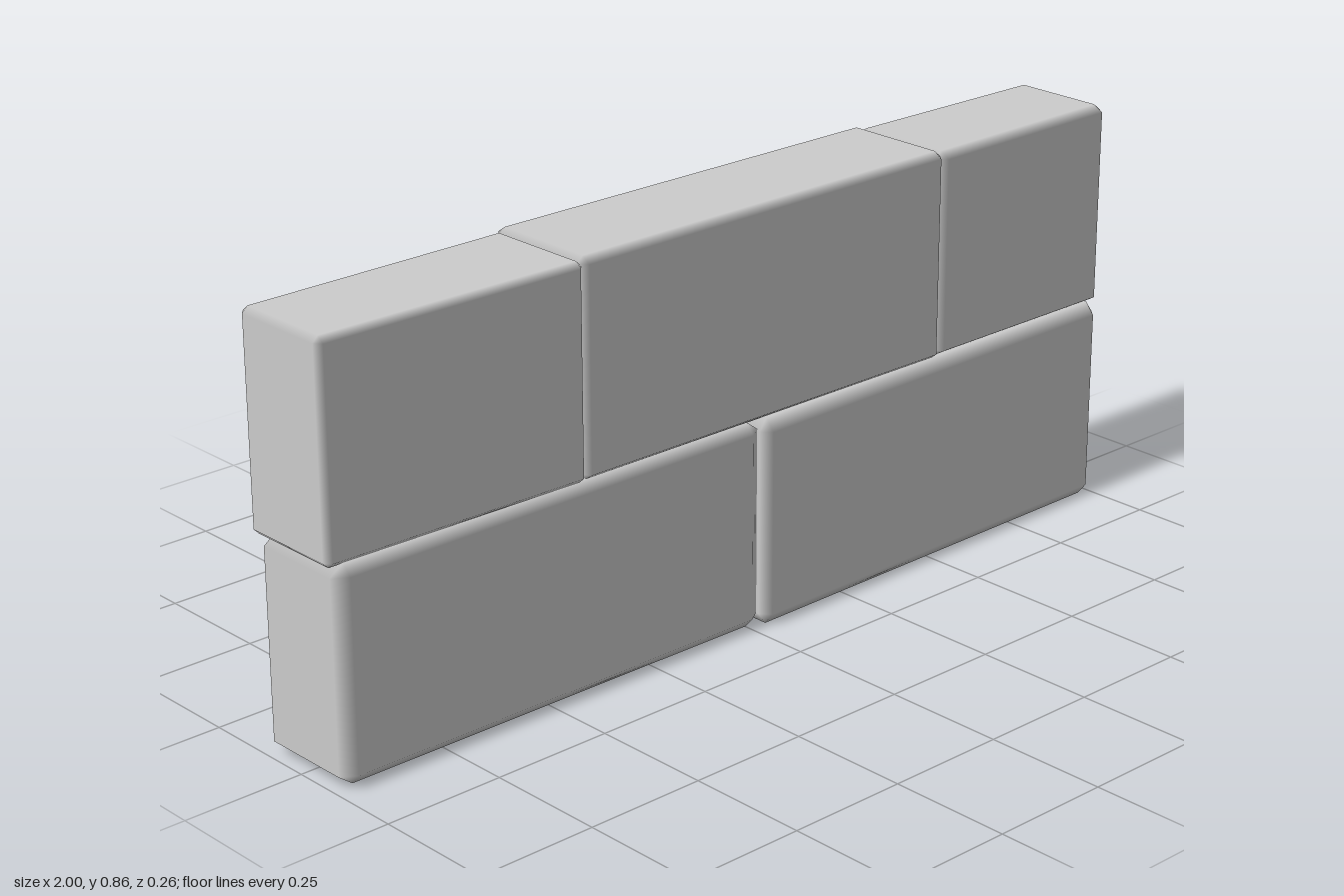
import * as THREE from 'three';
import { ConvexGeometry } from 'three/addons/geometries/ConvexGeometry.js';

const material = new THREE.MeshStandardMaterial({ color: 0xcccccc });

// Chamfered block; the front and back planes taper from the -x end to the +x end.
function stoneBlock({ x, y, front, back, bevel }) {
  const half = [(x[1] - x[0]) / 2, (y[1] - y[0]) / 2, 1];
  const points = [];
  for (const sx of [-1, 1]) for (const sy of [-1, 1]) for (const sz of [-1, 1]) {
    const end = sx < 0 ? 0 : 1;
    const depth = (front[end] - back[end]) / 2;
    const middle = (front[end] + back[end]) / 2;
    // one point per face meeting at this corner
    for (let face = 0; face < 3; face++) {
      const inset = bevel.map((b, i) => (i === face ? 0 : b));
      points.push(new THREE.Vector3(
        sx * (half[0] - inset[0]), sy * (half[1] - inset[1]), middle + sz * (depth - inset[2])));
    }
  }
  const geometry = new ConvexGeometry(points);

  // Face-aligned normals keep the faces flat and let the bevels shade softly.
  const pos = geometry.attributes.position, normal = geometry.attributes.normal;
  for (let i = 0; i < pos.count; i++) {
    const px = pos.getX(i), py = pos.getY(i), pz = pos.getZ(i);
    if (Math.abs(Math.abs(px) - half[0]) < 1e-4) normal.setXYZ(i, Math.sign(px), 0, 0);
    else if (Math.abs(Math.abs(py) - half[1]) < 1e-4) normal.setXYZ(i, 0, Math.sign(py), 0);
    else normal.setXYZ(i, 0, 0, Math.sign(pz));
  }
  geometry.translate((x[0] + x[1]) / 2, (y[0] + y[1]) / 2, 0);
  return geometry;
}

export function createModel() {
  const wall = new THREE.Group();
  wall.name = 'stoneWall';

  const blocks = {
    // lower course
    lowerRightBlock: { x: [-0.988, 0.025], y: [0.004, 0.432], front: [0.115, 0.122], back: [-0.115, -0.122], bevel: [0.03, 0.022, 0.02] },
    lowerLeftBlock: { x: [0.022, 0.993], y: [0, 0.432], front: [0.131, 0.12], back: [-0.12, -0.124], bevel: [0.018, 0.025, 0.02] },
    // upper course
    upperRightBlock: { x: [-1, -0.415], y: [0.43, 0.857], front: [0.107, 0.118], back: [-0.12, -0.122], bevel: [0.012, 0.012, 0.014] },
    upperMiddleBlock: { x: [-0.421, 0.514], y: [0.43, 0.862], front: [0.118, 0.12], back: [-0.134, -0.13], bevel: [0.014, 0.013, 0.018] },
    upperLeftBlock: { x: [0.506, 0.996], y: [0.432, 0.857], front: [0.12, 0.116], back: [-0.128, -0.12], bevel: [0.016, 0.013, 0.022] },
  };
  for (const [name, spec] of Object.entries(blocks)) {
    const block = new THREE.Mesh(stoneBlock(spec), material);
    block.name = name;
    wall.add(block);
  }
  return wall;
}
